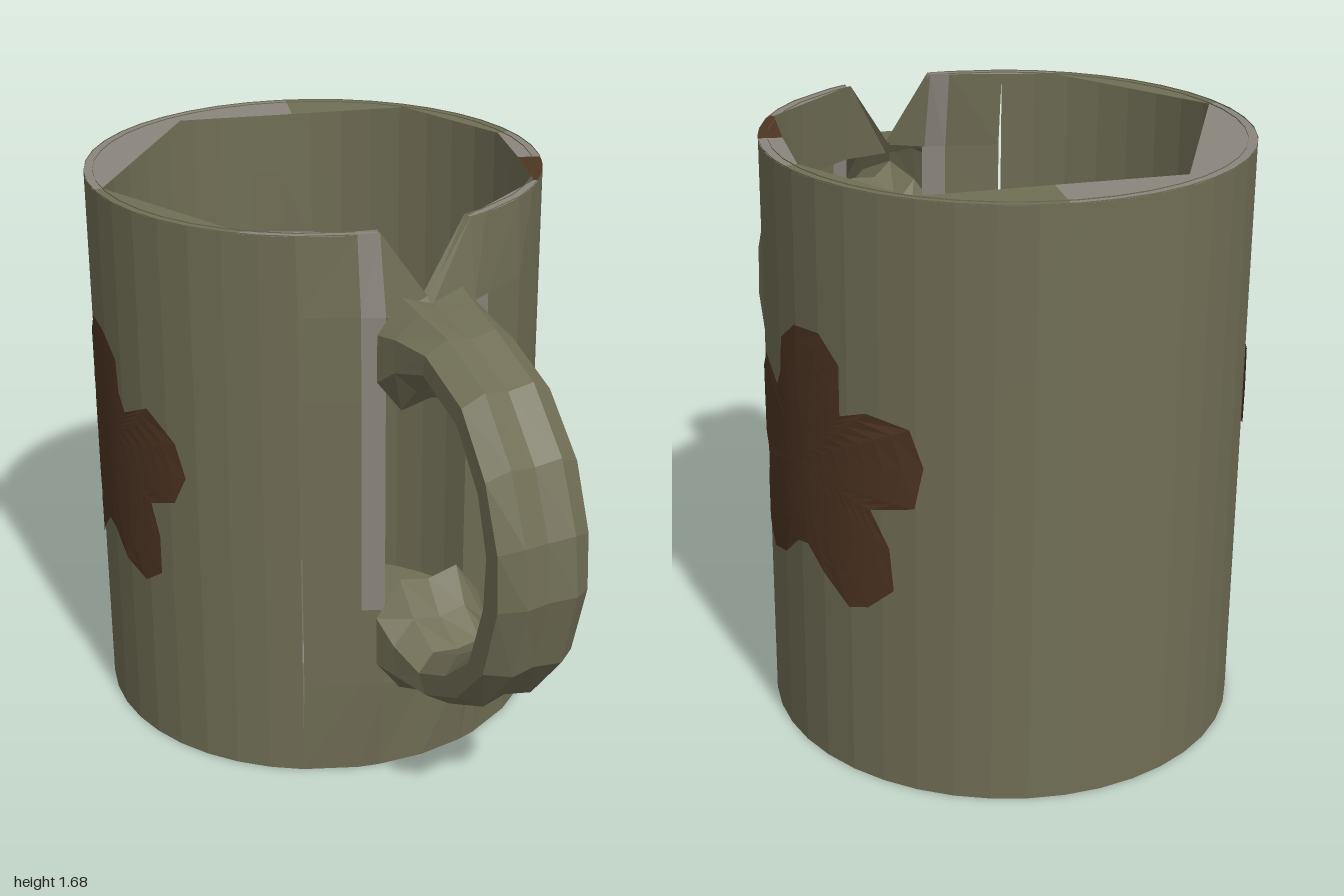
import * as THREE from 'three';

const CZ = -0.33, R = 0.67, H = 1.68;

function material(name, color, flatShading = true) {
  const m = new THREE.MeshStandardMaterial({ color, flatShading, side: THREE.DoubleSide });
  m.name = name;
  return m;
}

function mesh(name, positions, mat) {
  const g = new THREE.BufferGeometry();
  g.setAttribute('position', new THREE.Float32BufferAttribute(positions, 3));
  g.computeVertexNormals();
  const m = new THREE.Mesh(g, mat);
  m.name = name;
  return m;
}

// Two triangles a-b-c, a-c-d
const quad = (out, a, b, c, d) => out.push(...a, ...b, ...c, ...a, ...c, ...d);

// Flat outline in x/z laid at height y
function plate(name, pts, y, mat) {
  const g = new THREE.ShapeGeometry(new THREE.Shape(pts.map(p => new THREE.Vector2(p[0], p[1]))));
  g.rotateX(Math.PI / 2).translate(0, y, 0);
  const m = new THREE.Mesh(g, mat);
  m.name = name;
  return m;
}

// Cylinder wall, drawn out towards the handle, with an opening behind it and a notch in the rim
function wall(name, r, olive, grey) {
  const group = new THREE.Group();
  group.name = name;
  const front = [-0.35, -0.2, -0.14, 0, 0.14, 0.2, 0.35];
  const angles = front.map(x => Math.asin(x / R));
  const start = angles[6], span = Math.PI * 2 - 2 * start, n = 34;
  for (let i = 1; i <= n; i++) angles.push(start + span * i / n);
  const rows = [0, 0.3, 0.55, 0.8, 1.2, 1.45, H];
  const point = (i, j) => {
    const a = angles[i], x = r * Math.sin(a);
    let z = CZ + r * Math.cos(a), y = rows[j];
    if (i < 7 && j > 0 && j < 6) z = Math.max(z, Math.min(0.36, 0.36 - (Math.abs(x) - 0.14) * 0.5) - (R - r));
    if (i === 3 && j === 6) y = 1.48;
    return [x, y, z];
  };
  const main = [], worn = [];
  for (let i = 0; i < angles.length - 1; i++) {
    for (let j = 0; j < 6; j++) {
      if ((i === 2 || i === 3) && j >= 2 && j <= 4) continue;
      const isWorn = (i === 1 && j >= 2) || (i === 4 && j === 4);
      quad(isWorn ? worn : main, point(i, j), point(i + 1, j), point(i + 1, j + 1), point(i, j + 1));
    }
  }
  group.add(mesh(name + 'Main', main, olive), mesh(name + 'WornPatches', worn, grey));
  return group;
}

// Rim segment between an inner chord and the outer circle
function rimSegment(a, b, mat) {
  const angle = p => Math.atan2(p[0], p[1] - CZ);
  const t0 = angle(a);
  let t1 = angle(b);
  if (t1 > t0) t1 -= Math.PI * 2;
  const pts = [b, a];
  for (let k = 0; k <= 8; k++) {
    const t = t0 + (t1 - t0) * k / 8;
    pts.push([R * Math.sin(t), CZ + R * Math.cos(t)]);
  }
  return plate('rimSegment', pts, H - 0.003, mat);
}

// Five-petal patch wrapped onto the wall; side is +1 or -1
function flower(name, side, mat) {
  const outline = [
    [-0.28, 1.2], [-0.36, 1.26], [-0.47, 1.27], [-0.54, 1.2], [-0.54, 1.06], [-0.62, 1.09], [-0.73, 1.07],
    [-0.76, 0.97], [-0.74, 0.85], [-0.63, 0.82], [-0.68, 0.72], [-0.69, 0.6], [-0.62, 0.53], [-0.56, 0.51],
    [-0.47, 0.58], [-0.4, 0.64], [-0.35, 0.63], [-0.27, 0.56], [-0.17, 0.53], [-0.1, 0.58], [-0.1, 0.7],
    [-0.13, 0.8], [-0.04, 0.83], [0, 0.92], [-0.03, 1.02], [-0.13, 1.1], [-0.24, 1.05], [-0.27, 1.1]];
  const cz = -0.38, cy = 0.88, rings = 8, pos = [];
  const point = (i, k) => {
    const [oz, oy] = outline[i % outline.length], f = k / rings;
    const z = cz + (oz - cz) * f, y = cy + (oy - cy) * f;
    return [side * Math.sqrt((R + 0.005) ** 2 - (z - CZ) ** 2), y, z];
  };
  for (let i = 0; i < outline.length; i++) {
    for (let k = 0; k < rings; k++) {
      const q = [point(i, k), point(i, k + 1), point(i + 1, k + 1), point(i + 1, k)];
      if (side < 0) q.reverse();
      quad(pos, ...q);
    }
  }
  return mesh(name, pos, mat);
}

// Faceted C-shaped handle: [outer z, outer y, inner z, inner y, half width]
function handle(mat) {
  const sections = [
    [0.365, 1.5, 0.365, 1.17, 0.17], [0.44, 1.48, 0.43, 1.25, 0.155], [0.57, 1.45, 0.54, 1.31, 0.135],
    [0.76, 1.37, 0.71, 1.24, 0.135], [0.9, 1.21, 0.82, 1.1, 0.14], [0.98, 1.02, 0.855, 0.95, 0.14],
    [1, 0.85, 0.835, 0.8, 0.14], [0.94, 0.62, 0.77, 0.62, 0.14], [0.8, 0.45, 0.66, 0.54, 0.14],
    [0.62, 0.36, 0.53, 0.48, 0.14], [0.46, 0.32, 0.43, 0.54, 0.155], [0.365, 0.28, 0.365, 0.64, 0.17]];
  const half = [[0, 0.9], [0.55, 1], [1, 0.72], [1, 0.3], [0.55, 0], [0, 0.06]];
  const profile = [...half, ...half.slice(1, 5).reverse().map(([x, u]) => [-x, u])];
  const point = (s, p) => {
    const [oz, oy, iz, iy, w] = sections[s], [x, u] = profile[p % profile.length];
    return [x * w, iy + (oy - iy) * u, iz + (oz - iz) * u];
  };
  const pos = [];
  for (let s = 0; s < sections.length - 1; s++) {
    for (let p = 0; p < profile.length; p++) {
      quad(pos, point(s, p), point(s, p + 1), point(s + 1, p + 1), point(s + 1, p));
    }
  }
  // Wind the faces outwards
  for (let i = 0; i < pos.length; i += 9) {
    const b = pos.slice(i + 3, i + 6);
    for (let k = 0; k < 3; k++) {
      pos[i + 3 + k] = pos[i + 6 + k];
      pos[i + 6 + k] = b[k];
    }
  }
  return mesh('handle', pos, mat);
}

export function createModel() {
  const olive = material('olive glaze', 0x706e55);
  const grey = material('worn grey', 0x8a857c);
  const brown = material('dark brown', 0x4f3523);
  const mug = new THREE.Group();
  mug.name = 'mug';

  mug.add(wall('outerWall', R, olive, grey), wall('innerWall', R - 0.025, olive, grey));

  // Floor with wedge-shaped marks on both faces
  const base = new THREE.CircleGeometry(R - 0.003, 40);
  base.rotateX(Math.PI / 2).translate(0, 0.006, CZ);
  const floor = new THREE.Mesh(base, olive);
  floor.name = 'floor';
  mug.add(floor);
  const wedge = [[-0.2, -0.54], [0.52, -0.04], [0.5, 0.08], [0.14, -0.15], [0.36, 0.19], [0.21, 0.25], [-0.2, -0.5]];
  const chip = [[0.26, 0], [0.44, 0.11], [0.41, 0.13], [0.34, 0.11], [0.37, 0.18], [0.34, 0.19]];
  for (const y of [0.002, 0.01]) {
    mug.add(plate('floorWedge', wedge, y, grey), plate('floorChip', chip, y, brown));
  }

  // Uneven rim, from the handle's left side round the back to its right side
  const rim = [
    [0.14, 0.31, grey], [0.47, 0.13, brown], [0.55, -0.08, grey], [0.63, -0.32, olive], [0.52, -0.71, olive],
    [0.17, -0.81, grey], [-0.17, -0.91, grey], [-0.64, -0.39, olive], [-0.46, 0.13, grey], [-0.14, 0.31, grey]];
  for (let i = 0; i < rim.length - 1; i++) {
    const [ax, az, mat] = rim[i], [bx, bz] = rim[i + 1];
    const a = Math.atan2(ax, az - CZ), b = Math.atan2(bx, bz - CZ);
    mug.add(a < b || Math.abs(a - b) > Math.PI ? rimSegment([bx, bz], [ax, az], mat) : rimSegment([bx, bz], [ax, az], mat));
  }

  mug.add(flower('leftFlower', 1, brown), flower('rightFlower', -1, brown), handle(olive));
  return mug;
}
